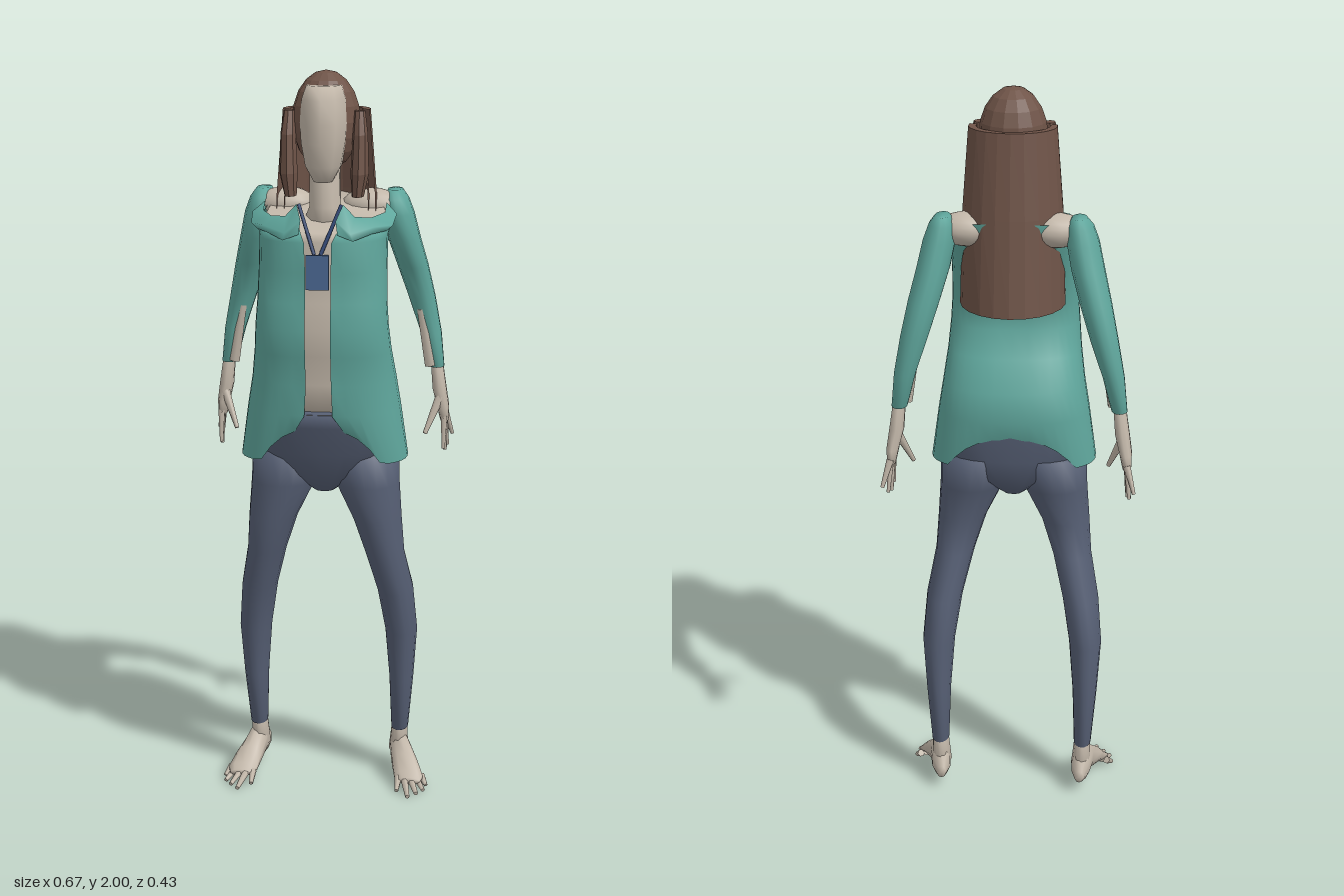
import * as THREE from 'three';

const mat = (name, color, side = THREE.FrontSide, flat = false) => {
  const m = new THREE.MeshStandardMaterial({ color, side });
  m.name = name;
  m.flatShading = flat;
  return m;
};

// Surface through rows of points, optionally wrapped around and capped
function grid(rows, closed = true, caps = closed) {
  const n = rows[0].length, pos = rows.flat(2), idx = [];
  const cols = closed ? n : n - 1, last = (rows.length - 1) * n;
  for (let i = 0; i < rows.length - 1; i++)
    for (let j = 0; j < cols; j++) {
      const a = i * n + j, b = i * n + ((j + 1) % n);
      idx.push(a, b, a + n, b, b + n, a + n);
    }
  if (caps) {
    const mid = r => [0, 1, 2].map(k => r.reduce((s, p) => s + p[k], 0) / n);
    pos.push(...mid(rows[0]), ...mid(rows[rows.length - 1]));
    const c = rows.length * n;
    for (let j = 0; j < n; j++) {
      const k = (j + 1) % n;
      idx.push(c, k, j, c + 1, last + j, last + k);
    }
  }
  const g = new THREE.BufferGeometry();
  g.setAttribute('position', new THREE.Float32BufferAttribute(pos, 3));
  g.setIndex(idx);
  g.computeVertexNormals();
  return g;
}

const pw = (v, e) => Math.sign(v) * Math.abs(v) ** e;

// Horizontal rings: [x, y, z, radiusX, radiusZ, tilt]
const loft = (rings, n = 12, e = 1) => grid(rings.map(([x, y, z, rx, rz, tilt = 0]) =>
  Array.from({ length: n }, (_, j) => {
    const a = (j / n) * Math.PI * 2, c = pw(Math.cos(a), e);
    return [x + rx * pw(Math.sin(a), e), y + tilt * c, z + rz * c];
  })));

// Upright rings running forward: [x, y, z, radiusX, radiusY]
const loftForward = (rings, n = 10) => grid(rings.map(([x, y, z, rx, ry]) =>
  Array.from({ length: n }, (_, j) => {
    const a = (j / n) * Math.PI * 2;
    return [x + rx * Math.sin(a), y - ry * Math.cos(a), z];
  })));

// Tapered rod between two points
function rod(a, b, r1, r2, sides = 6) {
  const A = new THREE.Vector3(...a), B = new THREE.Vector3(...b), d = B.clone().sub(A);
  const g = new THREE.CylinderGeometry(r2, r1, d.length(), sides);
  g.applyQuaternion(new THREE.Quaternion().setFromUnitVectors(new THREE.Vector3(0, 1, 0), d.normalize()));
  const m = A.add(B).multiplyScalar(0.5);
  return g.translate(m.x, m.y, m.z);
}

export function createModel() {
  const root = new THREE.Group();
  const skin = mat('skin', 0xc2b7a9);
  const teal = mat('jacket teal', 0x5fa69c, THREE.DoubleSide);
  const hair = mat('hair brown', 0x6f5448, THREE.DoubleSide, true);
  const navy = mat('trouser slate', 0x565f74);
  const strapBlue = mat('strap blue', 0x2f4470);
  const badgeBlue = mat('badge blue', 0x4a6791);
  const add = (name, geo, m) => {
    const mesh = new THREE.Mesh(geo, m);
    mesh.name = name;
    root.add(mesh);
    return mesh;
  };

  // Torso rows: [y, halfWidth, frontZ, backZ, tilt, half opening]
  const torso = [
    [0.98, 0.225, 0.17, -0.09, 0, 0.065], [1.12, 0.205, 0.195, -0.105, 0, 0.037],
    [1.2, 0.192, 0.192, -0.095, 0, 0.033], [1.28, 0.181, 0.207, -0.045, 0, 0.033],
    [1.35, 0.175, 0.217, -0.005, 0, 0.033], [1.42, 0.17, 0.205, -0.005, 0, 0.033],
    [1.5, 0.168, 0.2, -0.04, 0, 0.033], [1.58, 0.168, 0.207, -0.085, 0, 0.035],
    [1.615, 0.175, 0.19, -0.11, -0.015, 0.045], [1.64, 0.16, 0.12, -0.115, -0.03, 0.06],
  ];
  const E = 0.8, N = 36;

  // Jacket body, open down the front with a raised hem at front and back
  add('jacketBody', grid(torso.map(([y, w, f, b, tilt, gap], i) => {
    const a0 = Math.asin((gap / w) ** (1 / E));
    return Array.from({ length: N + 1 }, (_, j) => {
      const a = a0 + (j / N) * (Math.PI * 2 - 2 * a0), c = Math.cos(a), cs = pw(c, E);
      const hem = i ? 0 : 0.1 * Math.max(0, c - 0.75) / 0.25 + 0.09 * Math.max(0, -c - 0.7) / 0.3;
      return [w * pw(Math.sin(a), E), y + tilt * cs + hem, (f + b) / 2 + cs * (f - b) / 2];
    });
  }), false), teal);

  // Bare chest and belly inside the jacket
  add('chest', loft(torso.slice(1).map(([y, w, f, b, tilt]) =>
    [0, y, (f + b) / 2, w * 0.95, (f - b) / 2 - 0.01, tilt]), 24, E), skin);

  // Trouser seat
  add('trouserSeat', loft([
    [0, 0.88, 0.03, 0.03, 0.045], [0, 0.93, 0.025, 0.1, 0.09], [0, 1.0, 0.03, 0.185, 0.115],
    [0, 1.08, 0.04, 0.19, 0.132], [0, 1.13, 0.045, 0.185, 0.143],
  ], 24, E), navy);

  // Head and neck
  add('neck', loft([[0, 1.58, 0.03, 0.07, 0.07], [0, 1.65, 0.035, 0.042, 0.05], [0, 1.8, 0.04, 0.04, 0.045]], 10), skin);
  add('face', loft([
    [0, 1.72, 0.075, 0.025, 0.035], [0, 1.76, 0.07, 0.048, 0.063], [0, 1.82, 0.06, 0.06, 0.08],
    [0, 1.87, 0.05, 0.064, 0.092], [0, 1.93, 0.045, 0.06, 0.09], [0, 1.965, 0.04, 0.048, 0.068],
  ], 10), mat('skin', 0xc2b7a9, THREE.FrontSide, true)).material = skin;
  const cap = new THREE.SphereGeometry(1, 14, 10).scale(0.09, 0.13, 0.095);
  add('hairCap', cap.translate(0, 1.87, 0.01), hair);

  // Long hair sheet around the back: [y, radiusX, radiusZ]
  add('backHair', grid([
    [1.43, 0.14, 0.155], [1.68, 0.132, 0.125], [1.9, 0.115, 0.095],
    [1.9, 0.095, 0.075], [1.68, 0.112, 0.105], [1.43, 0.12, 0.135],
  ].map(([y, rx, rz]) => Array.from({ length: 13 }, (_, j) => {
    const a = Math.PI * (0.44 + 1.12 * j / 12);
    return [rx * Math.sin(a), y, rz * Math.cos(a)];
  })), false), hair);

  // Neck strap and badge
  add('badge', new THREE.BoxGeometry(0.06, 0.09, 0.009).translate(0, 1.505, 0.211), badgeBlue);

  for (const s of [1, -1]) {
    const side = s > 0 ? 'left' : 'right';
    const M = rings => rings.map(([x, ...r]) => [x * s, ...r]);
    const R = (a, b, r1, r2) => rod([a[0] * s, a[1], a[2]], [b[0] * s, b[1], b[2]], r1, r2);

    add(side + 'Strap', R([0.055, 1.67, 0.15], [0.008, 1.55, 0.211], 0.005, 0.005), strapBlue);
    add(side + 'HairLock', loft(M([
      [0.088, 1.68, 0.06, 0.016, 0.03], [0.093, 1.74, 0.062, 0.024, 0.04],
      [0.094, 1.84, 0.058, 0.02, 0.034], [0.092, 1.9, 0.05, 0.014, 0.018],
    ]), 8), hair);

    // Turned-out collar flap
    add(side + 'Collar', grid([
      [[0.05, 1.6, 0.2], [0.09, 1.585, 0.2], [0.135, 1.6, 0.17], [0.17, 1.6, 0.11], [0.185, 1.62, 0.05]],
      [[0.045, 1.635, 0.195], [0.085, 1.605, 0.21], [0.14, 1.62, 0.185], [0.185, 1.615, 0.11], [0.19, 1.635, 0.05]],
      [[0.06, 1.672, 0.155], [0.09, 1.64, 0.15], [0.13, 1.635, 0.12], [0.16, 1.64, 0.06], [0.16, 1.66, 0.02]],
    ].map(r => M(r)), false), teal);

    // Bare shoulder, sleeve, and forearm showing through the cuff slit
    add(side + 'Shoulder', new THREE.SphereGeometry(1, 14, 10).scale(0.08, 0.045, 0.055)
      .translate(0.115 * s, 1.642, -0.055), skin);
    add(side + 'Sleeve', loft(M([
      [0.289, 1.185, -0.148, 0.021, 0.03], [0.272, 1.28, -0.15, 0.029, 0.039],
      [0.246, 1.38, -0.147, 0.037, 0.045], [0.222, 1.47, -0.122, 0.042, 0.058],
      [0.2, 1.55, -0.088, 0.044, 0.07], [0.185, 1.62, -0.07, 0.043, 0.066],
      [0.178, 1.66, -0.068, 0.035, 0.055], [0.176, 1.683, -0.075, 0.02, 0.035],
    ]), 14), teal);
    add(side + 'Forearm', R([0.246, 1.35, -0.116], [0.273, 1.19, -0.128], 0.012, 0.016), skin);

    // Hand
    add(side + 'Palm', loft(M([
      [0.312, 1.03, -0.16, 0.012, 0.036], [0.308, 1.07, -0.155, 0.017, 0.04],
      [0.298, 1.12, -0.147, 0.02, 0.028], [0.289, 1.2, -0.146, 0.017, 0.02],
    ]), 10), skin);
    for (let k = 0; k < 4; k++) {
      const tip = [[0.312, 0.955, -0.122], [0.315, 0.943, -0.155], [0.32, 0.95, -0.185], [0.332, 0.975, -0.212]][k];
      add(side + 'Finger', R([0.312, 1.045, -0.132 - k * 0.019], tip, 0.01, 0.005), skin);
    }
    add(side + 'Thumb', R([0.3, 1.1, -0.13], [0.262, 1.005, -0.09], 0.013, 0.006), skin);

    // Trouser leg
    add(side + 'Leg', loft(M([
      [0.203, 0.14, -0.07, 0.024, 0.04], [0.207, 0.3, -0.057, 0.034, 0.057],
      [0.206, 0.45, -0.046, 0.045, 0.068], [0.19, 0.58, -0.022, 0.05, 0.082],
      [0.163, 0.7, 0.02, 0.054, 0.073], [0.143, 0.8, 0.033, 0.067, 0.077],
      [0.115, 0.9, 0.028, 0.088, 0.088], [0.102, 1.0, 0.017, 0.098, 0.103],
    ]), 16), navy);

    // Foot with five toes
    add(side + 'Ankle', loft(M([[0.2, 0.07, -0.075, 0.028, 0.042], [0.203, 0.16, -0.07, 0.021, 0.036]])), skin);
    add(side + 'Foot', loftForward(M([
      [0.197, 0.055, -0.13, 0.013, 0.018], [0.2, 0.07, -0.1, 0.027, 0.045],
      [0.207, 0.077, -0.05, 0.03, 0.048], [0.224, 0.053, 0, 0.038, 0.032],
      [0.237, 0.03, 0.035, 0.042, 0.017], [0.24, 0.024, 0.055, 0.032, 0.01],
    ])), skin);
    const toes = [[0.207, 0.085], [0.241, 0.12], [0.263, 0.097], [0.281, 0.073], [0.287, 0.04]];
    toes.forEach(([x, z], k) =>
      add(side + 'Toe', R([0.208 + k * 0.016, 0.026, 0.04 - k * 0.006], [x, 0.007, z], 0.011, 0.006), skin));
  }
  return root;
}
